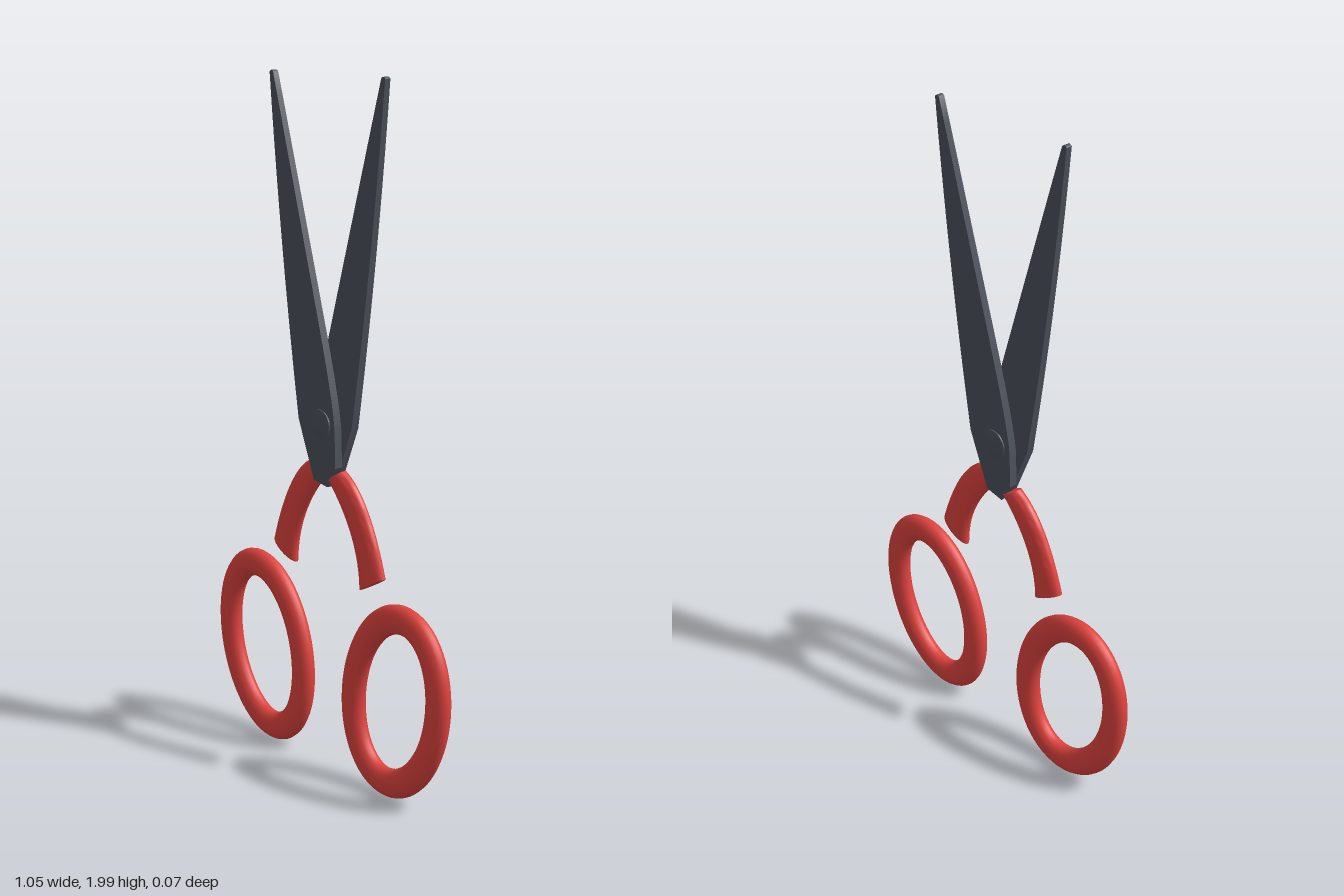
import * as THREE from 'three';
import { toCreasedNormals } from 'three/addons/utils/BufferGeometryUtils.js';

const steel = new THREE.MeshStandardMaterial({ color: 0x4b5059 });
steel.name = 'dark steel';
const red = new THREE.MeshStandardMaterial({ color: 0xdf433e });
red.name = 'red plastic';

function part(name, geometry, material) {
  const mesh = new THREE.Mesh(geometry, material);
  mesh.name = name;
  return mesh;
}

// Flat blade with its tang, thinning towards the tip
function bladeGeometry() {
  const s = new THREE.Shape();
  s.moveTo(-0.233, 1.995);
  s.quadraticCurveTo(-0.185, 1.52, -0.1, 1.035);
  s.lineTo(-0.03, 0.87);
  s.lineTo(0.03, 0.86);
  s.lineTo(0.066, 0.92);
  s.lineTo(0.062, 1.03);
  s.quadraticCurveTo(0.055, 1.1, 0, 1.285);
  s.quadraticCurveTo(-0.12, 1.68, -0.217, 1.995);
  s.quadraticCurveTo(-0.225, 2.005, -0.233, 1.995);
  const g = new THREE.ExtrudeGeometry(s, { depth: 1, bevelEnabled: false, curveSegments: 10 });
  const p = g.attributes.position;
  for (let i = 0; i < p.count; i++) {
    const outer = THREE.MathUtils.mapLinear(p.getY(i), 0.86, 2, 0.028, 0.021);
    p.setZ(i, p.getZ(i) > 0.5 ? outer : 0.003);
  }
  return toCreasedNormals(g, 0.5);
}

// Curved arm: elliptical sections spanning an outer and an inner edge curve
function armGeometry() {
  const v = (x, y) => new THREE.Vector2(x, y);
  const outer = new THREE.QuadraticBezierCurve(v(0.085, 0.915), v(0.1875, 0.867), v(0.26, 0.643));
  const inner = new THREE.QuadraticBezierCurve(v(0.025, 0.875), v(0.1615, 0.735), v(0.16, 0.588));
  const rows = 16, sides = 24, pos = [], index = [];
  for (let i = 0; i <= rows; i++) {
    const o = outer.getPoint(i / rows), n = inner.getPoint(i / rows);
    for (let j = 0; j < sides; j++) {
      const a = (j / sides) * Math.PI * 2;
      const p = n.clone().lerp(o, 0.5 + 0.5 * Math.cos(a));
      pos.push(p.x, p.y, 0.011 + 0.022 * Math.sin(a));
    }
  }
  for (const t of [0, 1]) {
    const c = outer.getPoint(t).lerp(inner.getPoint(t), 0.5);
    pos.push(c.x, c.y, 0.011);
  }
  const start = (rows + 1) * sides, last = rows * sides;
  for (let j = 0; j < sides; j++) {
    const k = (j + 1) % sides;
    for (let i = 0; i < rows; i++) {
      const a = i * sides, b = a + sides;
      index.push(a + j, a + k, b + j, a + k, b + k, b + j);
    }
    index.push(start, k, j, start + 1, last + j, last + k);
  }
  const g = new THREE.BufferGeometry();
  g.setAttribute('position', new THREE.Float32BufferAttribute(pos, 3));
  g.setIndex(index);
  return toCreasedNormals(g, 0.8);
}

// Oval finger ring of even width, flattened in depth
function ringGeometry() {
  const path = new THREE.Curve();
  path.getPoint = (t, target = new THREE.Vector3()) => {
    const a = t * Math.PI * 2;
    return target.set(0.173 * Math.cos(a), 0.251 * Math.sin(a), 0);
  };
  const g = new THREE.TubeGeometry(path, 72, 0.042, 20, true);
  g.scale(1, 1, 0.67);
  g.rotateZ(-THREE.MathUtils.degToRad(15));
  g.translate(0.302, 0.297, 0.005);
  return g;
}

// Pivot pin with slightly domed heads on both faces
function pivotGeometry() {
  const profile = [[0, -0.036], [0.025, -0.035], [0.042, -0.031], [0.042, 0.031], [0.025, 0.035], [0, 0.036]];
  const g = new THREE.LatheGeometry(profile.map(([x, y]) => new THREE.Vector2(x, y)), 32);
  g.rotateX(Math.PI / 2);
  g.translate(0, 1.035, 0);
  return toCreasedNormals(g, 0.7);
}

export function createModel() {
  const model = new THREE.Group();
  model.name = 'scissors';
  const blade = bladeGeometry(), arm = armGeometry(), ring = ringGeometry();

  // Two identical halves, one turned half way round the upright axis
  ['front', 'back'].forEach((side, i) => {
    const half = new THREE.Group();
    half.name = side + 'Half';
    half.add(
      part(side + 'Blade', blade, steel),
      part(side + 'HandleArm', arm, red),
      part(side + 'FingerRing', ring, red)
    );
    half.rotation.y = i * Math.PI;
    model.add(half);
  });

  model.add(part('pivotPin', pivotGeometry(), steel));
  return model;
}
